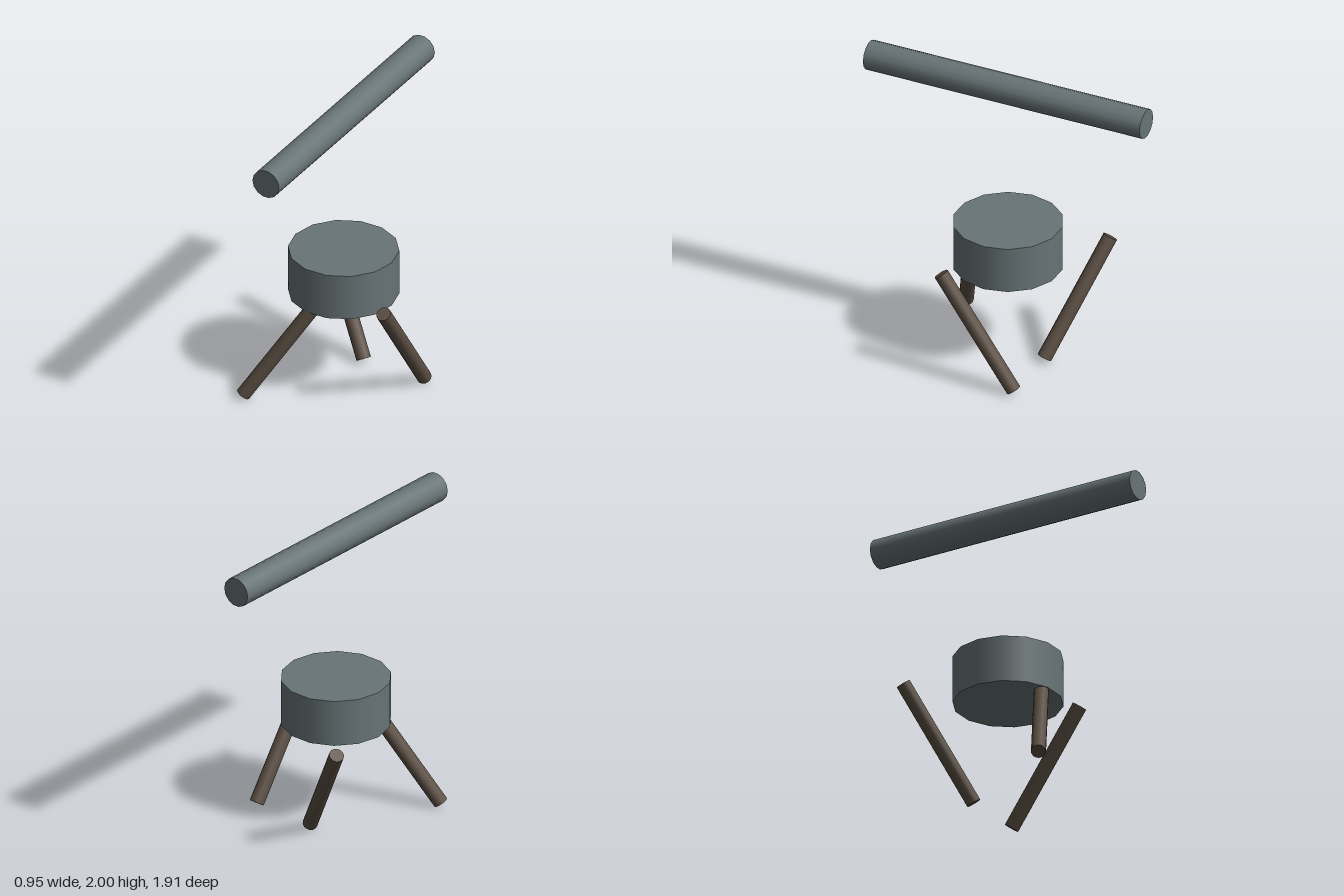
import * as THREE from 'three';

const SIDES = 14;
const metal = new THREE.MeshStandardMaterial({ color: 0x687476 });
const wood = new THREE.MeshStandardMaterial({ color: 0x5c4f43 });

// Cylinder with its first corner on the +x axis
function rod(name, radius, length, material) {
  const geometry = new THREE.CylinderGeometry(radius, radius, length, SIDES);
  geometry.rotateY(Math.PI / 2);
  const mesh = new THREE.Mesh(geometry, material);
  mesh.name = name;
  return mesh;
}

// Straight leg between two end centres
function leg(name, bottom, top) {
  const a = new THREE.Vector3(...bottom);
  const b = new THREE.Vector3(...top);
  const axis = b.clone().sub(a);
  const mesh = rod(name, 0.047, axis.length(), wood);
  mesh.position.copy(a).add(b).multiplyScalar(0.5);
  mesh.quaternion.setFromUnitVectors(new THREE.Vector3(0, 1, 0), axis.normalize());
  return mesh;
}

export function createModel() {
  const group = new THREE.Group();
  group.name = 'mountedTube';

  // Floating horizontal tube, running front to back
  const tube = rod('tube', 0.096, 1.91, metal);
  tube.rotation.x = Math.PI / 2;
  tube.position.set(-0.005, 1.907, 0);
  group.add(tube);

  // Drum-shaped base
  const drum = rod('drum', 0.347, 0.308, metal);
  drum.position.set(-0.005, 0.8, 0);
  group.add(drum);

  // Three slanted legs
  const low = 0.027, high = 0.738;
  group.add(
    leg('leftLeg', [0.429, low, -0.25], [0.429, high, 0.25]),
    leg('backLeg', [-0.007, low, -0.25], [-0.435, high, -0.497]),
    leg('frontLeg', [-0.435, low, 0.497], [-0.007, high, 0.25])
  );
  return group;
}
